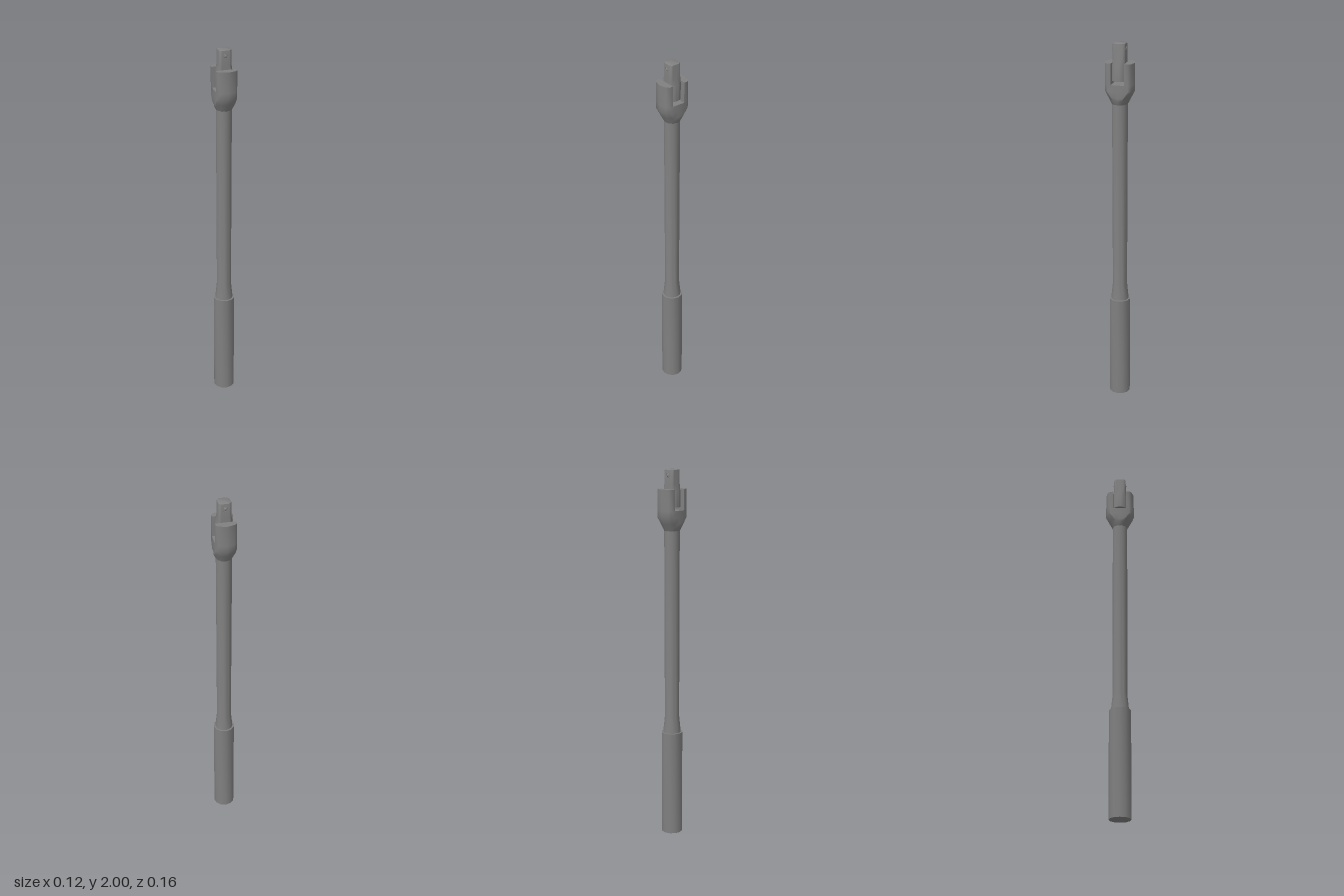
import * as THREE from 'three';
import { toCreasedNormals } from 'three/addons/utils/BufferGeometryUtils.js';

const material = new THREE.MeshStandardMaterial({ color: 0x808080 });

function add(group, name, geometry, crease = 0.6) {
  const mesh = new THREE.Mesh(toCreasedNormals(geometry, crease), material);
  mesh.name = name;
  group.add(mesh);
  return mesh;
}

// Solid of revolution from [radius, y] pairs
const turned = (profile, sides) =>
  new THREE.LatheGeometry(profile.map(([r, y]) => new THREE.Vector2(r, y)), sides);

// Closed solid through rows of { y, ring }, each ring a list of [x, z]
function loft(rows) {
  const pos = [], index = [], n = rows[0].ring.length;
  for (const { y, ring } of rows) for (const [x, z] of ring) pos.push(x, y, z);
  const bottom = rows.length * n, top = bottom + 1, last = (rows.length - 1) * n;
  pos.push(0, rows[0].y, 0, 0, rows[rows.length - 1].y, 0);
  for (let i = 0; i < n; i++) {
    const j = (i + 1) % n;
    for (let k = 0; k < last; k += n) {
      index.push(k + i, k + j, k + n + j, k + i, k + n + j, k + n + i);
    }
    index.push(bottom, j, i, top, last + i, last + j);
  }
  const geometry = new THREE.BufferGeometry();
  geometry.setAttribute('position', new THREE.Float32BufferAttribute(pos, 3));
  geometry.setIndex(index);
  return geometry;
}

// Twelve-sided outline of radius r whose sides are milled flat at x = +-flat
const flat = 0.053;
function clippedHalf(r) {
  const p = [r * 0.5, r * 0.866], q = [r * 0.866, r * 0.5];
  const t = Math.min(1, (flat - p[0]) / (q[0] - p[0]));
  const c = [p[0] + t * (q[0] - p[0]), p[1] + t * (q[1] - p[1])];
  return [[-c[0], c[1]], [-p[0], p[1]], [0, r], p, c];
}
function clippedRing(r) {
  const half = clippedHalf(r), side = Math.min(r, flat);
  return [...half, [side, 0], ...half.map(([x, z]) => [-x, -z]), [-side, 0]];
}

// Round bar outline with four flats: half width w in x, half depth d in z
function barRing(w, d, r) {
  const ring = [];
  for (let i = 0; i < 48; i++) {
    const a = (i / 48) * Math.PI * 2;
    ring.push([
      THREE.MathUtils.clamp(r * Math.sin(a), -w, w),
      THREE.MathUtils.clamp(r * Math.cos(a), -d, d),
    ]);
  }
  return ring;
}

export function createModel() {
  const group = new THREE.Group();
  group.name = 'breakerBar';

  // Handle grip and slender, slightly tapered shaft
  add(group, 'handle', turned([[0, 0], [0.058, 0], [0.058, 0.58], [0, 0.58]], 12));
  add(group, 'shaft', turned([
    [0, 0.57], [0.048, 0.57], [0.047, 0.59], [0.039, 0.67], [0.041, 1.69], [0, 1.69],
  ], 24));

  // Forked head: flared base below the slot, one prong on each side
  const slotFloor = 1.79, headTop = 1.90, slot = 0.035, headCrease = 0.85;
  const head = new THREE.Group();
  head.name = 'forkHead';
  group.add(head);
  add(head, 'forkBase', loft([
    [0.04, 1.68], [0.053, 1.705], [0.0612, 1.721], [0.079, 1.755], [0.079, slotFloor],
  ].map(([r, y]) => ({ y, ring: clippedRing(r) }))), headCrease);

  const outline = [[-flat, slot], ...clippedHalf(0.079), [flat, slot]];
  const prongShape = new THREE.Shape(outline.map(([x, z]) => new THREE.Vector2(x, -z)));
  for (const [name, turn] of [['frontProng', 0], ['backProng', Math.PI]]) {
    const prong = new THREE.ExtrudeGeometry(prongShape, { depth: headTop - slotFloor, bevelEnabled: false });
    prong.rotateX(-Math.PI / 2).rotateY(turn).translate(0, slotFloor, 0);
    add(head, name, prong, headCrease);
  }

  // Square drive: tongue in the slot, shoulder, square end with softened top
  const drive = new THREE.Group();
  drive.name = 'squareDrive';
  group.add(drive);
  add(drive, 'driveTongue', loft([
    [0.043, 0.034, 0.043, 1.806],
    [0.043, 0.034, 0.043, 1.89],
    [0.033, 0.033, 0.040, 1.925],
    [0.033, 0.033, 0.039, 1.992],
    [0.032, 0.032, 0.037, 1.998],
    [0.029, 0.029, 0.033, 2.0],
  ].map(([w, d, r, y]) => ({ y, ring: barRing(w, d, r) }))));

  // Hinge pin through tongue and prongs
  const pin = new THREE.CylinderGeometry(0.015, 0.015, 0.1, 16);
  pin.rotateX(Math.PI / 2).translate(0, 1.85, 0);
  add(drive, 'hingePin', pin);

  // Detent balls with a thin collar on front and back faces
  for (const side of [1, -1]) {
    const ball = add(drive, 'detentBall', new THREE.SphereGeometry(0.010, 16, 10));
    ball.position.set(0, 1.97, side * 0.027);
    const collar = add(drive, 'detentCollar', new THREE.TorusGeometry(0.011, 0.0015, 6, 20), 1);
    collar.position.set(0, 1.97, side * 0.033);
  }
  return group;
}
